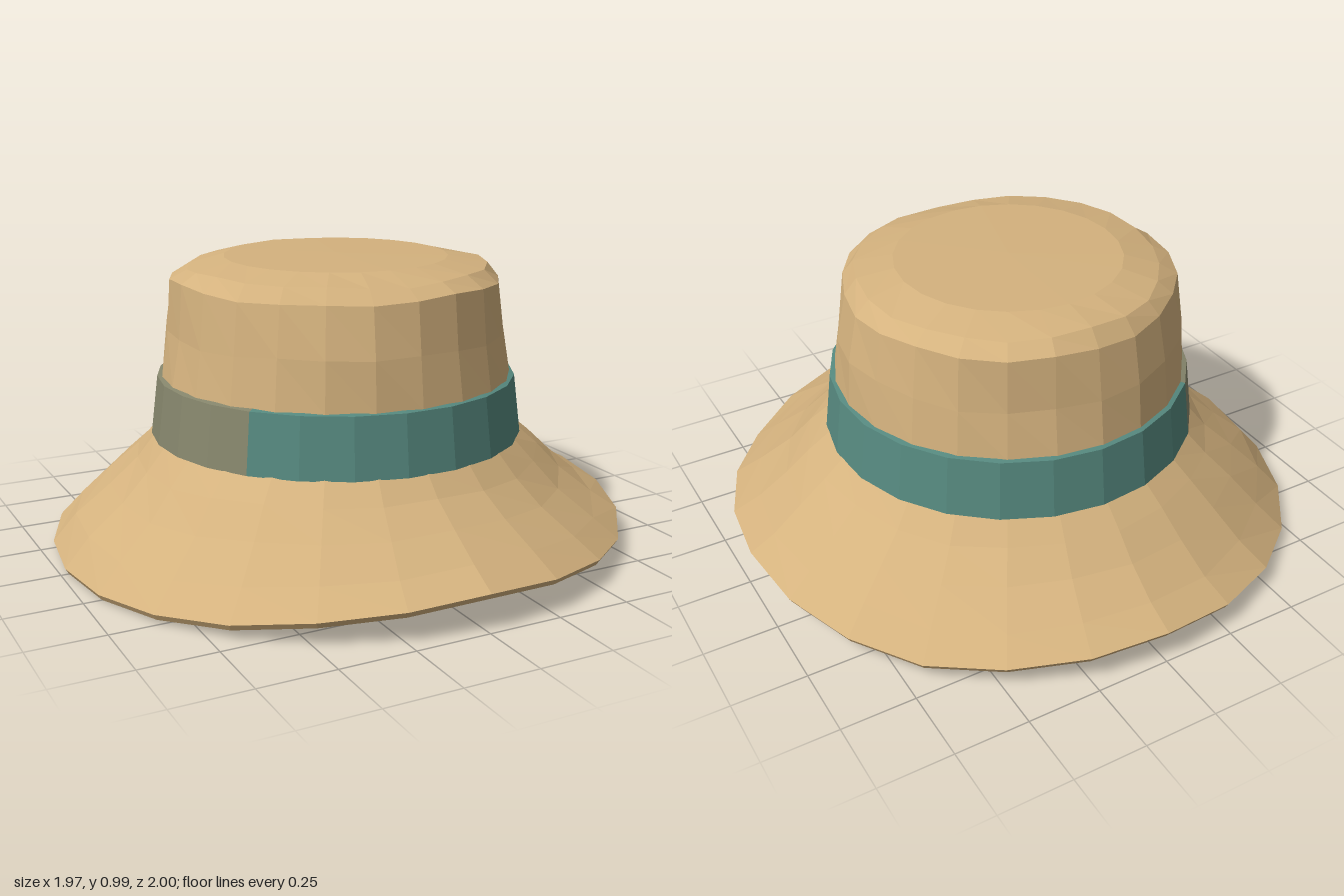
import * as THREE from 'three';

const sand = new THREE.MeshStandardMaterial({ color: 0xd4b27e, flatShading: true });
sand.name = 'sand cloth';
const teal = new THREE.MeshStandardMaterial({ color: 0x56897f, flatShading: true });
teal.name = 'teal ribbon';
const faded = new THREE.MeshStandardMaterial({ color: 0x86866c, flatShading: true });
faded.name = 'faded ribbon';

// height of the brim edge every 22.5 degrees, from +x towards +z
const EDGE = [.12, .1, .07, .1, .125, .095, .05, .022, .02, .024, .04, .08, .12, .1, .07, .09];
function edgeY(t) {
  const u = (((t / (Math.PI * 2)) % 1) + 1) % 1 * 16;
  const i = Math.floor(u), f = u - i;
  return EDGE[i % 16] * (1 - f) + EDGE[(i + 1) % 16] * f;
}

// slight hand-made unevenness
const wobble = (t, k) => 0.006 * Math.sin(3 * t + k * 2.1) + 0.004 * Math.sin(7 * t + k);

// profile points as functions of the angle, each giving [radius, height]
const ring = (r, y, k = 0) => t => [r + (r ? wobble(t, k) : 0), y + (r ? wobble(t, k + 3) : 0)];
const plain = (r, y) => () => [r, y];
const brimR = t => 0.985 + 0.015 * Math.sin(t) ** 2;
const brimTop = t => [brimR(t), edgeY(t)];
const brimUnder = t => [brimR(t) - 0.012, edgeY(t) - 0.02];
const slope = (r, y, pull, drop = 0) => t =>
  [r + wobble(t, r * 9), y - drop + pull * (edgeY(t) - 0.085) + wobble(t, r * 5)];

// skin through stacked rings; rising rings face outward, falling rings face inward
function loft(name, material, rows, from = 0, to = 360, sides = 24) {
  const pos = [];
  const point = (row, j) => {
    const t = THREE.MathUtils.degToRad(from + (to - from) * j / sides);
    const [r, y] = row(t);
    return [r * Math.cos(t), y, r * Math.sin(t)];
  };
  for (let i = 0; i < rows.length - 1; i++) {
    for (let j = 0; j < sides; j++) {
      const a = point(rows[i], j), b = point(rows[i], j + 1);
      const c = point(rows[i + 1], j + 1), d = point(rows[i + 1], j);
      pos.push(...a, ...d, ...c, ...a, ...c, ...b);
    }
  }
  const geometry = new THREE.BufferGeometry();
  geometry.setAttribute('position', new THREE.Float32BufferAttribute(pos, 3));
  geometry.computeVertexNormals();
  const mesh = new THREE.Mesh(geometry, material);
  mesh.name = name;
  return mesh;
}

export function createModel() {
  const hat = new THREE.Group();
  hat.name = 'bucketHat';

  // outer cloth
  const bandFoot = plain(0.625, 0.39);
  hat.add(loft('brim', sand, [brimUnder, brimTop, slope(0.9, 0.15, 0.6), slope(0.79, 0.235, 0.3),
    slope(0.7, 0.315, 0.1), bandFoot]));
  hat.add(loft('crown', sand, [bandFoot, plain(0.598, 0.58), ring(0.578, 0.74, 1), ring(0.555, 0.91, 2)]));
  hat.add(loft('crownTop', sand, [ring(0.555, 0.91, 2), ring(0.505, 0.952, 3), plain(0.38, 0.98), plain(0, 0.985)]));

  // ribbon around the crown, with one faded stretch
  const ribbon = [plain(0.615, 0.378), plain(0.638, 0.38), plain(0.613, 0.58), plain(0.59, 0.585)];
  hat.add(loft('ribbon', teal, ribbon, 225, 502.5, 18));
  hat.add(loft('fadedRibbon', faded, ribbon, 142.5, 225, 6));

  // lining
  const liningTop = plain(0.525, 0.9), liningMid = plain(0.565, 0.64), liningFoot = plain(0.605, 0.37);
  hat.add(loft('liningTop', sand, [plain(0, 0.96), plain(0.38, 0.955), liningTop]));
  hat.add(loft('liningWall', sand, [liningTop, liningMid], 225, 525, 20));
  hat.add(loft('liningPatch', teal, [liningTop, liningMid], 165, 225, 4));
  hat.add(loft('liningBand', teal, [liningMid, liningFoot]));
  hat.add(loft('brimUnderside', sand, [liningFoot, slope(0.69, 0.315, 0.1, 0.03),
    slope(0.78, 0.235, 0.3, 0.03), slope(0.89, 0.15, 0.6, 0.025), brimUnder]));

  return hat;
}
